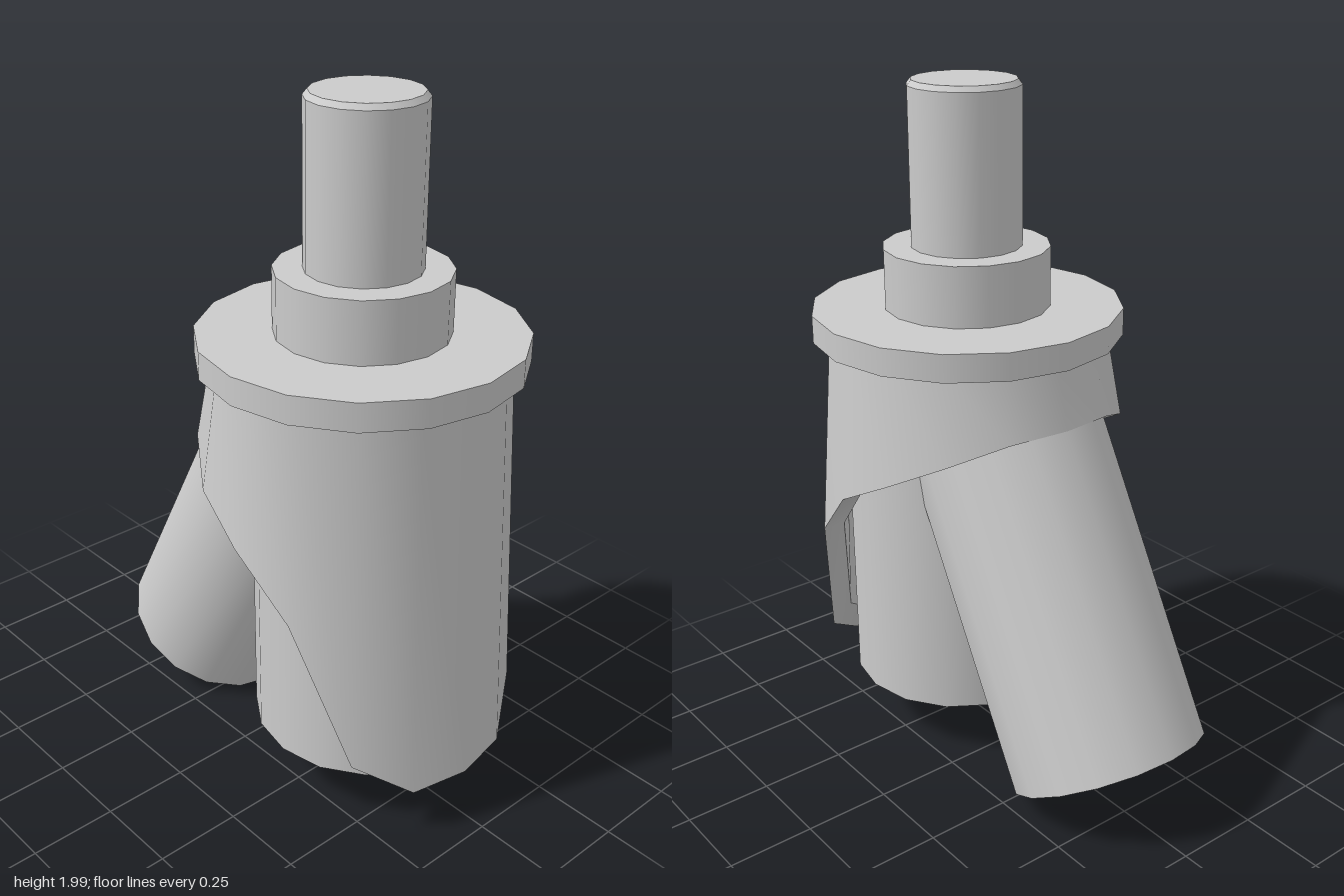
import * as THREE from 'three';

const SIDES = 16;
const AXIS_X = 0.225; // main vertical axis

export function createModel() {
  const group = new THREE.Group();
  const material = new THREE.MeshStandardMaterial({ color: 0xcccccc });

  const add = (name, geometry, x = 0, y = 0) => {
    const mesh = new THREE.Mesh(geometry, material);
    mesh.name = name;
    mesh.position.set(x, y, 0);
    group.add(mesh);
    return mesh;
  };
  const cylinder = (name, radius, y0, y1, x = AXIS_X) =>
    add(name, new THREE.CylinderGeometry(radius, radius, y1 - y0, SIDES), x, (y0 + y1) / 2);

  // Mounting stem, collar and flange
  cylinder('stem', 0.16, 1.5, 1.985);
  add('stemTop', new THREE.CylinderGeometry(0.148, 0.16, 0.015, SIDES), AXIS_X, 1.9925);
  cylinder('collar', 0.24, 1.36, 1.54);
  cylinder('flange', 0.45, 1.285, 1.365);

  // Upright barrel
  cylinder('barrel', 0.335, 0.18, 1.29, 0.28);

  // Angled barrel, leaning into the hood
  const tilt = 0.506;
  const length = 1.08;
  const angled = cylinder('angledBarrel', 0.2875, 0, length);
  angled.rotation.z = -tilt;
  angled.position.set(
    -0.4275 + Math.sin(tilt) * length / 2,
    0.1475 + Math.cos(tilt) * length / 2,
    0
  );

  // Hood: a flared wall whose lower edge sweeps down toward +x.
  // Edge heights run from the +x side to the -x side, mirrored front to back.
  const outerEdge = [0.16, 0.16, 0.27, 0.7, 0.87, 0.96, 1.04, 1.1, 1.11];
  const innerEdge = [0.25, 0.25, 0.35, 0.71, 0.87, 0.96, 1.04, 1.1, 1.11];
  const ring = (radius, heightAt) => Array.from({ length: SIDES }, (_, i) => {
    const a = (i / SIDES) * Math.PI * 2;
    return [Math.cos(a) * radius, heightAt(Math.min(i, SIDES - i)), Math.sin(a) * radius];
  });
  const loft = (a, b) => {
    const index = [];
    for (let i = 0; i < SIDES; i++) {
      const j = (i + 1) % SIDES;
      index.push(i, j, SIDES + i, j, SIDES + j, SIDES + i);
    }
    const geometry = new THREE.BufferGeometry();
    geometry.setAttribute('position', new THREE.Float32BufferAttribute([...a, ...b].flat(), 3));
    geometry.setIndex(index);
    geometry.computeVertexNormals();
    return geometry;
  };
  const outerTop = ring(0.405, () => 1.29);
  const outerBottom = ring(0.45, (k) => outerEdge[k]);
  const innerBottom = ring(0.39, (k) => innerEdge[k]);
  const innerTop = ring(0.36, () => 1.29);
  add('hoodOuterWall', loft(outerTop, outerBottom), AXIS_X);
  add('hoodRim', loft(outerBottom, innerBottom), AXIS_X);
  add('hoodInnerWall', loft(innerBottom, innerTop), AXIS_X);

  return group;
}
